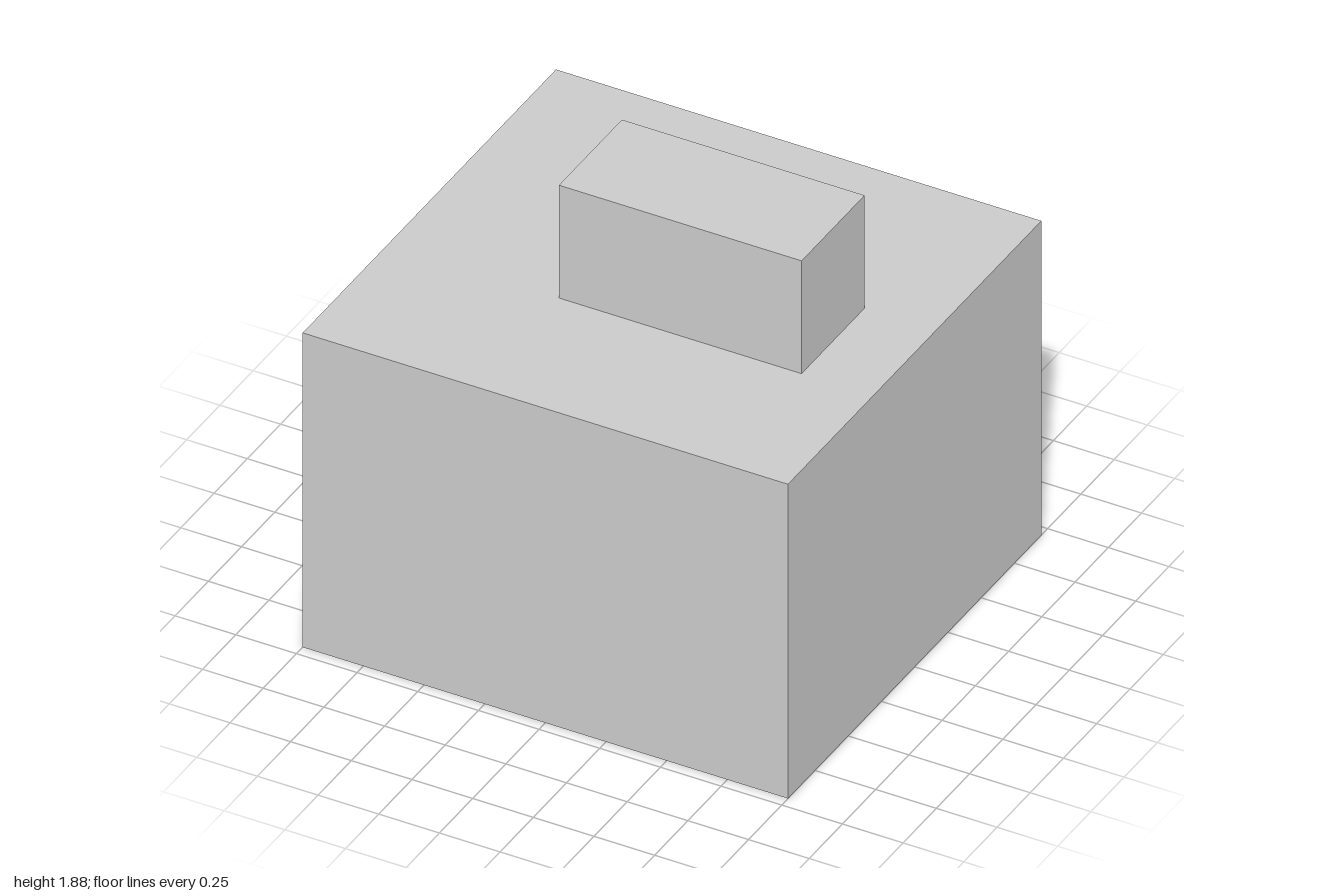
import * as THREE from 'three';

const material = new THREE.MeshStandardMaterial({ color: 0xcccccc, flatShading: true });

// Box given by its size and the centre of its underside
function block(name, [w, h, d], [x, y, z]) {
  const mesh = new THREE.Mesh(new THREE.BoxGeometry(w, h, d), material);
  mesh.name = name;
  mesh.position.set(x, y + h / 2, z);
  return mesh;
}

export function createModel() {
  const model = new THREE.Group();
  model.name = 'steppedBlock';
  const baseHeight = 1.382;

  // Large base block
  model.add(block('base', [2, baseHeight, 1.906], [0, 0, 0]));

  // Small off-centre block standing on the base
  model.add(block('topBlock', [1, 0.496, 0.474], [0.206, baseHeight, 0.077]));

  return model;
}
